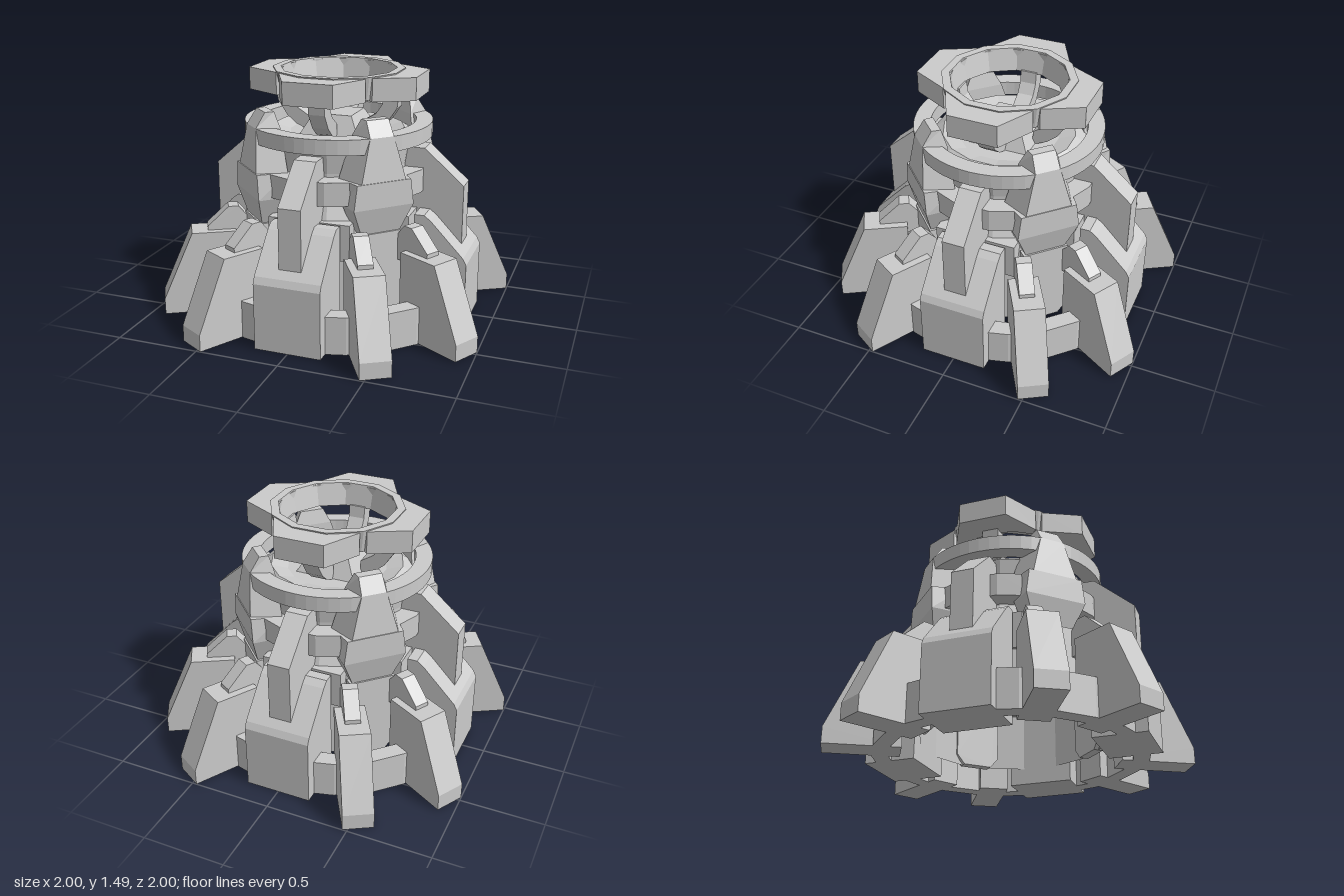
import * as THREE from 'three';

const mat = new THREE.MeshStandardMaterial({ color: 0xcccccc, flatShading: true, side: THREE.DoubleSide });

function add(parent, name, geometry) {
  const mesh = new THREE.Mesh(geometry, mat);
  mesh.name = name;
  parent.add(mesh);
  return mesh;
}

const shapeOf = pts => new THREE.Shape(pts.map(p => new THREE.Vector2(p[0], p[1])));

// Plate with a (radius, height) outline, w thick across the radial plane
function radialPlate(pts, w) {
  const g = new THREE.ExtrudeGeometry(shapeOf(pts), { depth: w, bevelEnabled: false });
  return g.translate(0, 0, -w / 2);
}

// Closed band with a (radius, height) section
function band(pts, sides) {
  const loop = [...pts, pts[0]].map(p => new THREE.Vector2(p[0], p[1]));
  return new THREE.LatheGeometry(loop, sides, Math.PI / sides);
}

const hoop = (r0, r1, y0, y1, sides) => band([[r0, y0], [r1, y0], [r1, y1], [r0, y1]], sides);

// Curved bar centred on +x, reaching the given angle to each side
function arcBar(r0, r1, y0, y1, degrees) {
  const a = THREE.MathUtils.degToRad(degrees);
  const s = new THREE.Shape();
  s.absarc(0, 0, r1, -a, a, false);
  s.absarc(0, 0, r0, a, -a, true);
  const g = new THREE.ExtrudeGeometry(s, { depth: y1 - y0, bevelEnabled: false, curveSegments: 6 });
  return g.rotateX(-Math.PI / 2).translate(0, y0, 0);
}

// Four-sided block between two sections [height, inner width, outer width, inner radius, outer radius]
function taperBlock(a, b) {
  const g = new THREE.BoxGeometry(1, 1, 1);
  const p = g.attributes.position;
  for (let i = 0; i < p.count; i++) {
    const [y, w0, w1, r0, r1] = p.getY(i) < 0 ? a : b;
    const inner = p.getX(i) < 0;
    p.setXYZ(i, inner ? r0 : r1, y, p.getZ(i) * (inner ? w0 : w1));
  }
  g.computeVertexNormals();
  return g;
}

function spoke(parent, name, degrees) {
  const g = new THREE.Group();
  g.name = name;
  g.rotation.y = THREE.MathUtils.degToRad(degrees);
  parent.add(g);
  return g;
}

export function createModel() {
  const model = new THREE.Group();
  model.name = 'tower';

  // Base ring, hollow body and its hoop
  add(model, 'baseRing', hoop(0.72, 0.82, 0, 0.23, 24));
  const profile = [[0.55, 0.1], [0.55, 0.5], [0.5, 0.66], [0.45, 0.78], [0.45, 0.95], [0.47, 1.08], [0.4, 1.13], [0.3, 1.1], [0, 1.1]];
  add(model, 'body', new THREE.LatheGeometry(profile.map(p => new THREE.Vector2(p[0], p[1])), 16, Math.PI / 16));
  add(model, 'middleHoop', hoop(0.44, 0.565, 0.79, 0.93, 16));

  // Pyramid cap in the middle
  const cap = new THREE.CylinderGeometry(0.12 * Math.SQRT2, 0.19 * Math.SQRT2, 0.13, 4);
  add(model, 'centreCap', cap.rotateY(Math.PI / 4).translate(0, 1.155, 0));

  // Crown: four lobes around a tapered ring
  const lobe = [[0.27, -0.24], [0.295, -0.265], [0.52, -0.15], [0.52, 0.15], [0.295, 0.265], [0.27, 0.24]];
  const outline = [];
  for (let k = 0; k < 4; k++) {
    const c = Math.round(Math.cos(k * Math.PI / 2)), s = Math.round(Math.sin(k * Math.PI / 2));
    for (const [x, y] of lobe) outline.push([x * c - y * s, x * s + y * c]);
  }
  const crown = shapeOf(outline);
  const hole = new THREE.Path();
  hole.absarc(0, 0, 0.345, 0, Math.PI * 2, true);
  crown.holes.push(hole);
  const crownGeo = new THREE.ExtrudeGeometry(crown, { depth: 0.135, bevelEnabled: false, curveSegments: 8 });
  add(model, 'crown', crownGeo.rotateX(-Math.PI / 2).translate(0, 1.345, 0));
  add(model, 'crownRing', band([[0.32, 1.35], [0.37, 1.35], [0.4, 1.488], [0.35, 1.488]], 12));

  for (let k = 0; k < 4; k++) {
    // Buttress, collar, fin, upper hoop section and crown prong on each main side
    const side = spoke(model, 'side', k * 90);
    add(side, 'buttress', radialPlate([[0.54, 0], [0.86, 0], [0.86, 0.4], [0.84, 0.44], [0.64, 0.65], [0.6, 0.68], [0.54, 0.68]], 0.4));
    add(side, 'collar', radialPlate([[0.42, 0.46], [0.52, 0.46], [0.52, 0.68], [0.42, 0.68]], 0.5));
    add(side, 'fin', radialPlate([[0.42, 0.46], [0.8, 0.46], [0.8, 0.84], [0.56, 1.05], [0.42, 1.05]], 0.135));
    add(side, 'upperHoop', arcBar(0.47, 0.57, 1.09, 1.18, 38));
    add(side, 'prong', radialPlate([
      [0.17, 1.09], [0.26, 1.13], [0.32, 1.18], [0.38, 1.27], [0.39, 1.36],
      [0.3, 1.36], [0.29, 1.29], [0.25, 1.23], [0.17, 1.18]], 0.1));

    // Shoulder block with tapered horn on each corner
    const corner = spoke(model, 'corner', k * 90 + 45);
    const low = [0.62, 0.25, 0.25, 0.44, 0.56];
    const mid = [0.78, 0.38, 0.38, 0.44, 0.6];
    const high = [0.93, 0.4, 0.34, 0.42, 0.6];
    const hornTip = [1.18, 0.24, 0.15, 0.43, 0.565];
    add(corner, 'shoulderUnderside', taperBlock(low, mid));
    add(corner, 'shoulder', taperBlock(mid, high));
    add(corner, 'horn', taperBlock([0.93, 0.4, 0.28, 0.42, 0.595], hornTip));
    add(corner, 'hornTip', taperBlock(hornTip, [1.27, 0.15, 0.14, 0.45, 0.505]));

    // Wall panel with clipped lower corners
    const panel = new THREE.ExtrudeGeometry(
      shapeOf([[-0.09, 0.1], [0.09, 0.1], [0.14, 0.16], [0.14, 0.62], [-0.14, 0.62], [-0.14, 0.16]]),
      { depth: 0.06, bevelEnabled: false });
    add(corner, 'wallPanel', panel.rotateY(Math.PI / 2).translate(0.51, 0, 0));

    // Pair of sloping legs with struts
    for (const a of [30, 60]) {
      const leg = spoke(model, 'leg', k * 90 + a);
      add(leg, 'foot', radialPlate([[0.65, 0], [1.102, 0], [1.102, 0.1], [0.918, 0.515], [0.65, 0.515]], 0.18));
      add(leg, 'strut', radialPlate([[0.58, 0.44], [0.82, 0.44], [0.82, 0.54], [0.69, 0.66], [0.63, 0.66], [0.58, 0.6]], 0.09));
    }
  }
  return model;
}
